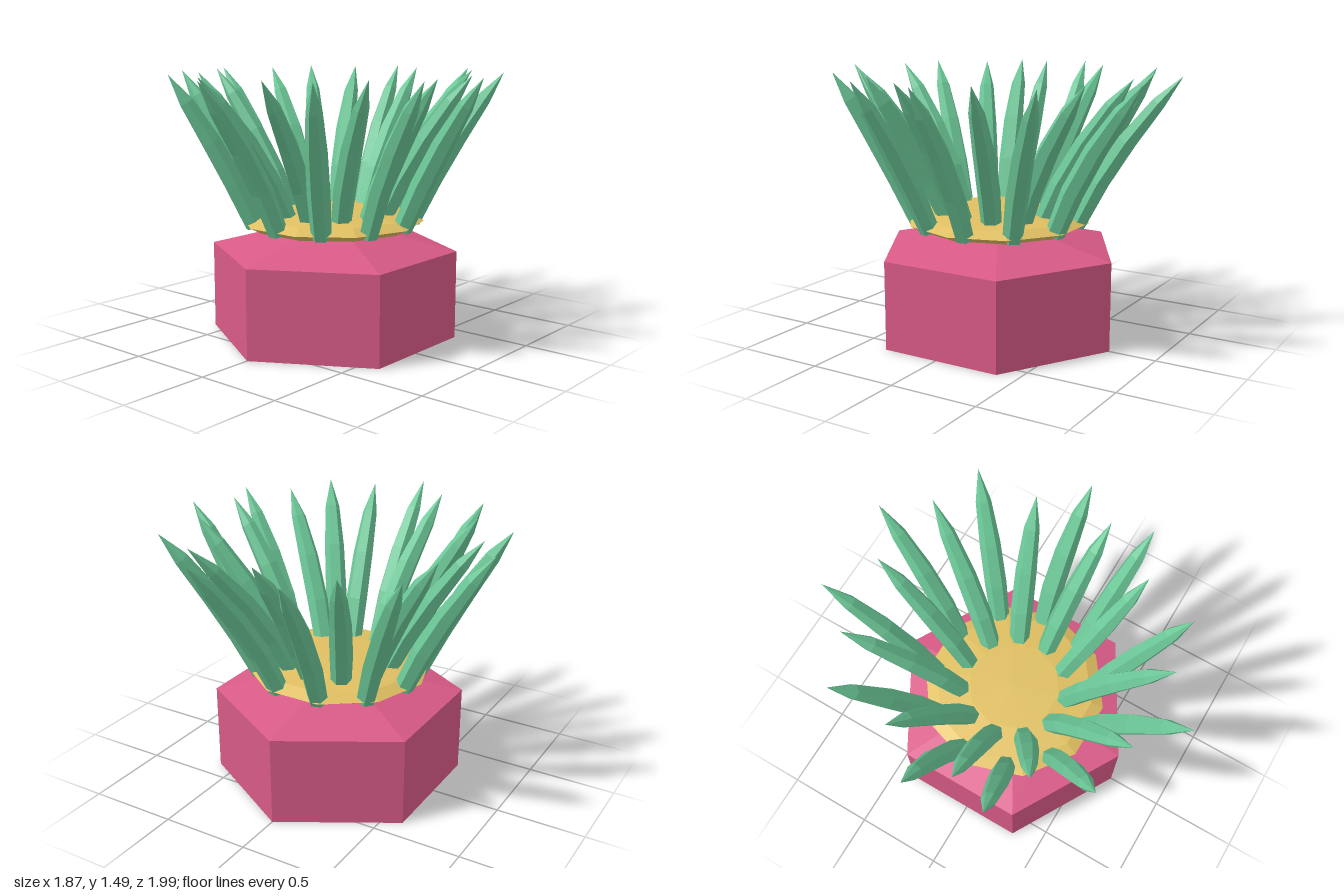
import * as THREE from 'three';

const CENTRE_Z = -0.02;
const TIP_Y = 1.49;
const ROOT_Y = 0.65;
const SIDES = 6;

// Faceted leaf: hexagonal rings along a curve that leaves the root radially and ends at the tip
function leafGeometry(angle, rootRadius, tipX, tipZ) {
  const out = new THREE.Vector3(Math.sin(angle), 0, Math.cos(angle));
  const root = out.clone().multiplyScalar(rootRadius).setY(ROOT_Y);
  const tip = new THREE.Vector3(tipX, TIP_Y, tipZ - CENTRE_Z);
  const bend = root.clone().addScaledVector(out, 0.17).setY(1.06);
  const path = new THREE.QuadraticBezierCurve3(root, bend, tip);
  const side = new THREE.Vector3(out.z, 0, -out.x);

  const rings = [[0, 0.055], [0.3, 0.062], [0.58, 0.058], [0.83, 0.042]];
  const pos = [];
  const index = [];
  rings.forEach(([t, r], i) => {
    const p = path.getPoint(t);
    const normal = new THREE.Vector3().crossVectors(path.getTangent(t), side).normalize();
    for (let j = 0; j < SIDES; j++) {
      const a = (j / SIDES) * Math.PI * 2;
      const v = p.clone().addScaledVector(side, r * Math.cos(a)).addScaledVector(normal, r * Math.sin(a));
      pos.push(v.x, v.y, v.z);
      const b = i * SIDES + j;
      const c = i * SIDES + (j + 1) % SIDES;
      if (i < rings.length - 1) index.push(b, c + SIDES, c, b, b + SIDES, c + SIDES);
    }
  });
  // pointed tip and closed root
  const tipIndex = pos.length / 3;
  pos.push(tip.x, tip.y, tip.z, root.x, root.y, root.z);
  const last = (rings.length - 1) * SIDES;
  for (let j = 0; j < SIDES; j++) {
    const k = (j + 1) % SIDES;
    index.push(last + j, tipIndex, last + k);
    index.push(j, k, tipIndex + 1);
  }
  const indexed = new THREE.BufferGeometry();
  indexed.setAttribute('position', new THREE.Float32BufferAttribute(pos, 3));
  indexed.setIndex(index);
  // make the winding face outward
  const volume = signedVolume(pos, index);
  if (volume < 0) indexed.setIndex(index.slice().reverse());
  const geo = indexed.toNonIndexed();
  geo.computeVertexNormals();
  return geo;
}

function signedVolume(pos, index) {
  const v = (i) => new THREE.Vector3().fromArray(pos, i * 3);
  let sum = 0;
  for (let i = 0; i < index.length; i += 3) {
    sum += v(index[i]).dot(v(index[i + 1]).cross(v(index[i + 2])));
  }
  return sum;
}

export function createModel() {
  const pink = new THREE.MeshStandardMaterial({ color: 0xd85a87 });
  pink.name = 'potPink';
  const yellow = new THREE.MeshStandardMaterial({ color: 0xdfbf62 });
  yellow.name = 'soilYellow';
  const green = new THREE.MeshStandardMaterial({ color: 0x6cc898 });
  green.name = 'leafGreen';

  const model = new THREE.Group();
  model.name = 'pottedPlant';
  const add = (parent, name, geometry, material, x, y, z) => {
    const flat = geometry.index ? geometry.toNonIndexed() : geometry;
    flat.computeVertexNormals();
    const mesh = new THREE.Mesh(flat, material);
    mesh.name = name;
    mesh.position.set(x, y, z);
    parent.add(mesh);
    return mesh;
  };

  // hexagonal pot with a sloping shoulder
  add(model, 'pot', new THREE.CylinderGeometry(0.705, 0.705, 0.5, 6), pink, 0, 0.25, -0.025);
  add(model, 'potShoulder', new THREE.CylinderGeometry(0.3, 0.705, 0.1, 6), pink, 0, 0.55, -0.025);

  // flattened crown that holds the leaves
  const crown = new THREE.SphereGeometry(0.52, 10, 6).scale(1, 0.07 / 0.52, 1);
  add(model, 'crown', crown, yellow, 0, 0.66, CENTRE_Z);

  // two interleaved rings of eleven leaves, mirrored left and right; tips given as x, z
  const rings = [
    {
      name: 'outerLeaves', rootRadius: 0.45, first: 0,
      tips: [[0, 0.99], [0.51, 0.73], [0.86, 0.32], [0.935, -0.09], [0.715, -0.66], [0.265, -0.995]],
    },
    {
      name: 'innerLeaves', rootRadius: 0.28, first: 0.5,
      tips: [[0.225, 0.78], [0.605, 0.425], [0.79, 0.105], [0.73, -0.31], [0.435, -0.77], [0, -0.83]],
    },
  ];
  for (const { name, rootRadius, first, tips } of rings) {
    const group = new THREE.Group();
    group.name = name;
    group.position.z = CENTRE_Z;
    tips.forEach(([x, z], i) => {
      const angle = ((i + first) / 11) * Math.PI * 2;
      for (const s of x === 0 ? [1] : [1, -1]) {
        add(group, 'leaf', leafGeometry(angle * s, rootRadius, x * s, z), green, 0, 0, 0);
      }
    });
    model.add(group);
  }
  return model;
}
